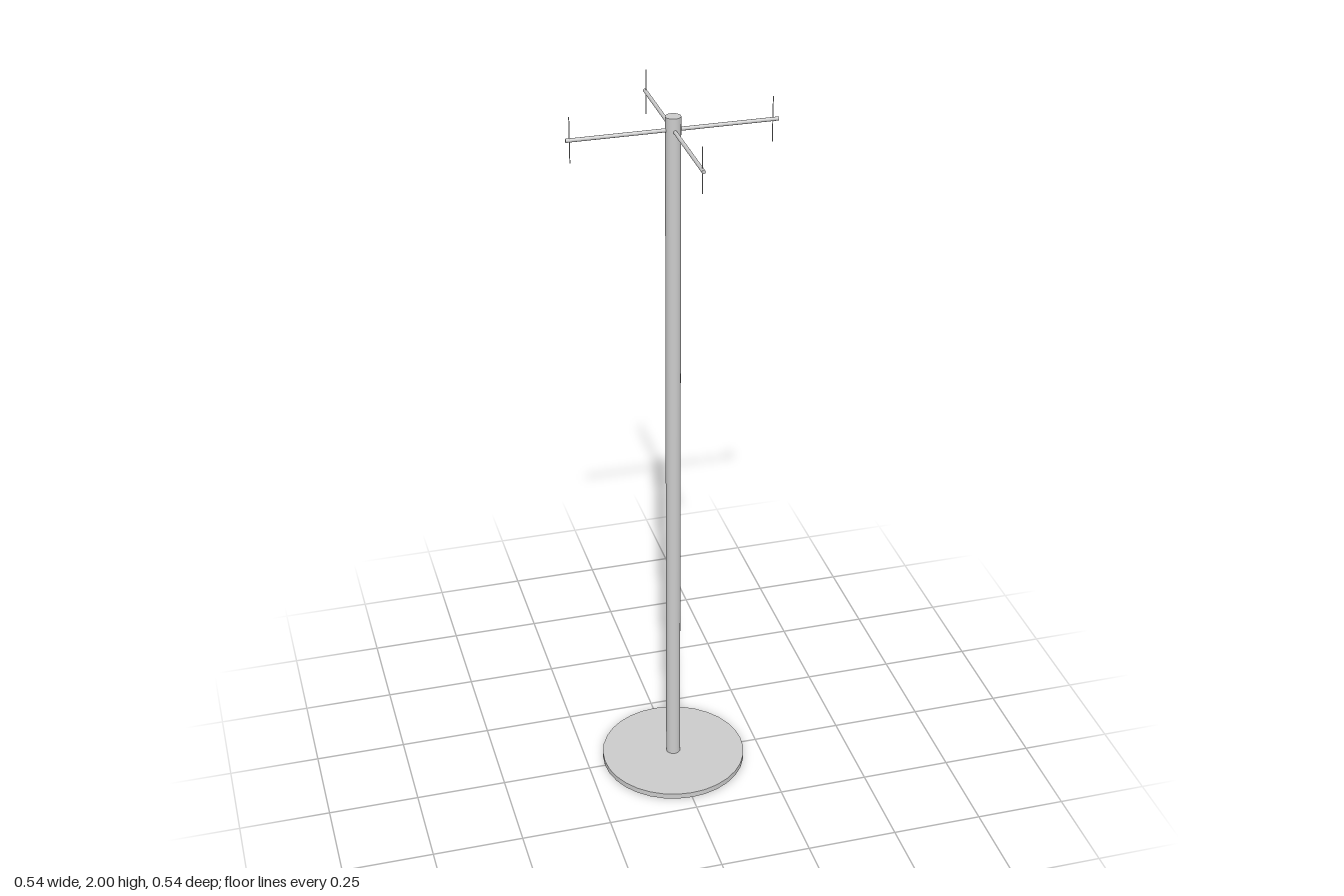
import * as THREE from 'three';

const material = new THREE.MeshStandardMaterial({ color: 0xcccccc });

function rod(name, radius, length, sides) {
  const mesh = new THREE.Mesh(new THREE.CylinderGeometry(radius, radius, length, sides), material);
  mesh.name = name;
  return mesh;
}

export function createModel() {
  const group = new THREE.Group();
  group.name = 'coatStand';

  // Round floor plate
  const base = rod('base', 0.204, 0.016, 32);
  base.position.y = 0.008;
  group.add(base);

  // Upright pole
  const pole = rod('pole', 0.02, 1.975, 32);
  pole.position.y = 1.975 / 2;
  group.add(pole);

  // Two crossed bars near the top
  const armY = 1.94;
  const sideArm = rod('sideArm', 0.005, 0.544, 16);
  sideArm.rotation.z = Math.PI / 2;
  sideArm.position.y = armY;
  const depthArm = rod('depthArm', 0.005, 0.544, 16);
  depthArm.rotation.x = Math.PI / 2;
  depthArm.position.y = armY;
  group.add(sideArm, depthArm);

  // Thin upright peg through each bar end
  for (const [x, z] of [[-0.262, 0], [0.257, 0], [0, -0.261], [0, 0.261]]) {
    const peg = rod('peg', 0.0012, 0.12, 12);
    peg.position.set(x, armY, z);
    group.add(peg);
  }
  return group;
}
